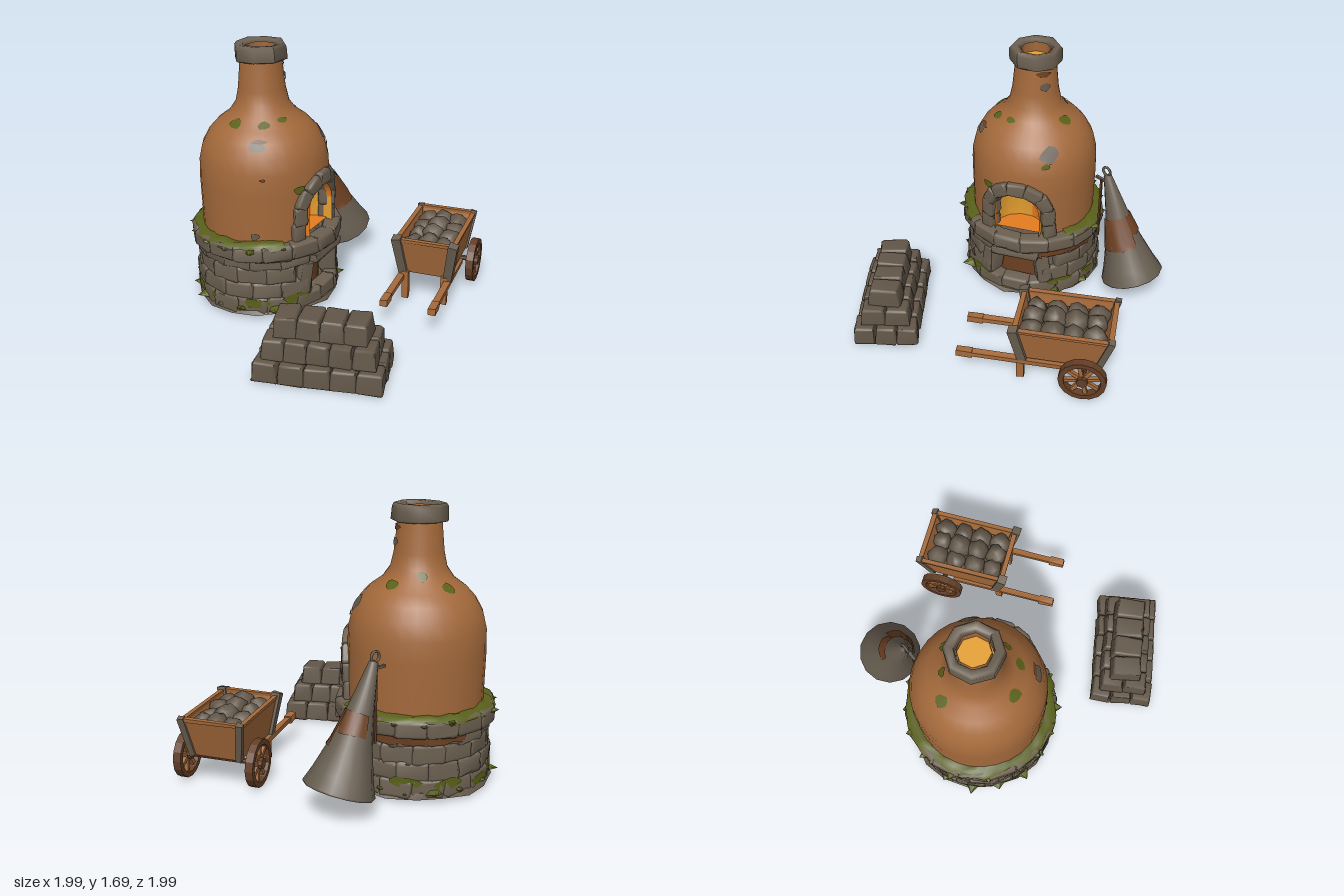
import * as THREE from 'three';
import { RoundedBoxGeometry } from 'three/addons/geometries/RoundedBoxGeometry.js';
import { mergeVertices } from 'three/addons/utils/BufferGeometryUtils.js';

const paint = (name, color, extra = {}) => Object.assign(new THREE.MeshStandardMaterial({ color, ...extra }), { name });
const DS = { side: THREE.DoubleSide };
const FLAT = { flatShading: true };
const M = {
  clay: paint('terracotta clay', 0xa3693b, DS),
  stone: paint('grey stone', 0x6c6051),
  brick: paint('dark stone', 0x625648),
  moss: paint('moss', 0x596018, DS),
  rust: paint('rust brown', 0x6c4022, DS),
  wood: paint('wood', 0xa56a3b, FLAT),
  darkWood: paint('dark wood', 0x643f27, FLAT),
  iron: paint('iron', 0x665c4f, DS),
  yellow: paint('fire yellow', 0xeca432, DS),
  orange: paint('fire orange', 0xe57c20, DS),
};

const hash = (a, b = 0, c = 0) => {
  const s = Math.sin(a * 127.1 + b * 311.7 + c * 74.7) * 43758.5453;
  return s - Math.floor(s);
};

// Pushes vertices about; coincident vertices move together
function roughen(geo, amount, seed = 1) {
  const p = geo.attributes.position;
  for (let i = 0; i < p.count; i++) {
    const v = [p.getX(i), p.getY(i), p.getZ(i)].map((n) => Math.round(n * 500) / 50);
    const d = [0, 1, 2].map((k) => (hash(v[0] + seed + k * 3.7, v[1] + k, v[2] - seed) - 0.5) * 2 * amount);
    p.setXYZ(i, p.getX(i) + d[0], p.getY(i) + d[1], p.getZ(i) + d[2]);
  }
  geo.computeVertexNormals();
  return geo;
}

// Joins the corners of a geometry so that it shades smoothly
function smooth(geo) {
  geo.deleteAttribute('normal');
  geo.deleteAttribute('uv');
  const g = mergeVertices(geo, 1e-4);
  g.computeVertexNormals();
  return g;
}

function add(parent, name, geo, mat, x = 0, y = 0, z = 0) {
  const m = new THREE.Mesh(geo, mat);
  m.name = name;
  m.position.set(x, y, z);
  parent.add(m);
  return m;
}
const group = (parent, name, x, y, z) => {
  const g = new THREE.Group();
  g.name = name;
  g.position.set(x, y, z);
  parent.add(g);
  return g;
};
const stoneGeo = (w, h, d, seed, rough = 0.006) =>
  smooth(roughen(new RoundedBoxGeometry(w, h, d, 1, Math.min(w, h, d) * 0.2), rough, seed));
const lathe = (pts, segs, start = 0, len = Math.PI * 2) =>
  new THREE.LatheGeometry(pts.map(([r, y]) => new THREE.Vector2(r, y)), segs, start, len);

const PROFILE = [[0.415, 0.48], [0.42, 0.82], [0.415, 0.95], [0.39, 1.05], [0.345, 1.13], [0.29, 1.19],
  [0.215, 1.245], [0.17, 1.31], [0.15, 1.4], [0.13, 1.6]];
function kilnRadius(y) {
  const i = Math.max(1, PROFILE.findIndex((p) => p[1] >= y));
  const [a, b] = [PROFILE[i - 1], PROFILE[i]];
  return THREE.MathUtils.lerp(a[0], b[0], (y - a[1]) / (b[1] - a[1]));
}

// Irregular thin blotch lying on a round wall
function patchGeo(phi, y, w, h, radiusAt) {
  const pos = [], idx = [], n = 9;
  const put = (a, yy) => { const r = radiusAt(yy) + 0.008; pos.push(r * Math.sin(a), yy, r * Math.cos(a)); };
  put(phi, y);
  for (let i = 0; i < n; i++) {
    const a = i / n * Math.PI * 2, k = 0.7 + 0.5 * hash(i, phi, y);
    put(phi + Math.cos(a) * w * k / radiusAt(y), y + Math.sin(a) * h * k);
    idx.push(0, 1 + i, 1 + (i + 1) % n);
  }
  const g = new THREE.BufferGeometry();
  g.setAttribute('position', new THREE.Float32BufferAttribute(pos, 3));
  g.setIndex(idx);
  g.computeVertexNormals();
  return g;
}

function buildKiln(root) {
  const kiln = group(root, 'kiln', -0.32, 0, -0.47);
  const TAU = Math.PI * 2, DOOR = 0.5, GAP = 0.42;
  const around = (name, geo, mat, phi, r, y, tilt = 0) => {
    const m = add(kiln, name, geo, mat, r * Math.sin(phi), y, r * Math.cos(phi));
    m.rotation.set(0, phi, tilt, 'YXZ');
    return m;
  };

  // Clay bottle, with a gap in the wall for the door
  add(kiln, 'clayBottle', lathe(PROFILE, 26, DOOR + GAP, TAU - 2 * GAP), M.clay);
  add(kiln, 'clayAboveDoor', lathe(PROFILE.slice(1), 4, DOOR - GAP, 2 * GAP), M.clay);
  add(kiln, 'chimneyCap', roughen(lathe([[0.115, 1.575], [0.16, 1.58], [0.167, 1.59], [0.167, 1.665], [0.155, 1.685],
    [0.115, 1.68], [0.108, 1.66], [0.108, 1.575]], 8), 0.004), M.stone);
  add(kiln, 'chimneyLining', lathe([[0.096, 1.56], [0.096, 1.665]], 8), M.clay);
  add(kiln, 'chimneyGlow', new THREE.CircleGeometry(0.1, 8).rotateX(-Math.PI / 2), M.yellow, 0, 1.6);

  // Glowing hearth and door lining
  const hearth = group(kiln, 'hearth', 0.37 * Math.sin(DOOR), 0, 0.37 * Math.cos(DOOR));
  hearth.rotation.y = DOOR;
  const oven = [[0.172, 0.48], [0.172, 0.68], [0.125, 0.8], [0, 0.84]];
  for (const [a, b, key] of [[1.57, 2.25, 'yellow'], [2.25, 2.85, 'orange'], [2.85, 4.72, 'yellow']])
    add(hearth, key + 'HearthWall', lathe(oven, 4, a, b - a), M[key]);
  add(hearth, 'hearthFloor', new THREE.CircleGeometry(0.172, 14, 0, Math.PI).rotateX(-Math.PI / 2), M.orange, 0, 0.51);
  add(hearth, 'liningArch', new THREE.CylinderGeometry(0.153, 0.153, 0.1, 12, 1, true, Math.PI / 2, Math.PI)
    .rotateX(Math.PI / 2), M.orange, 0, 0.66, -0.01);
  for (const s of [-1, 1])
    add(hearth, 'liningSide', new THREE.PlaneGeometry(0.1, 0.16).rotateY(Math.PI / 2), s < 0 ? M.orange : M.yellow, s * 0.153, 0.58, -0.01);

  // Stone arch around the door
  for (let i = -3; i <= 3; i++) {
    const a = i * Math.PI / 6;
    around('archStone', stoneGeo(0.125, 0.09, 0.11, i + 9), M.stone, DOOR + 0.21 * Math.sin(a) / 0.42, 0.4,
      0.66 + 0.205 * Math.cos(a), -a);
  }
  for (const s of [-1, 1]) around('archFoot', stoneGeo(0.09, 0.13, 0.1, s + 20), M.stone, DOOR + s * 0.53, 0.395, 0.55);

  // Ledge of big stones
  for (let i = 0; i < 16; i++)
    around('ledgeStone', stoneGeo(0.198, 0.105, 0.11, i * 1.7, 0.007), M.stone, i / 16 * TAU, 0.43, 0.45);
  add(kiln, 'rustBand', roughen(lathe([[0.464, 0.355], [0.466, 0.405]], 24, 0.7, 2.4), 0.006), M.rust);

  // Stone footing in courses, open at the ash hole
  add(kiln, 'footingCore', lathe([[0.425, 0.03], [0.425, 0.42]], 24, DOOR + 0.36, TAU - 0.72), M.stone);
  add(kiln, 'footingBottom', roughen(new THREE.CylinderGeometry(0.465, 0.485, 0.025, 18), 0.012), M.brick, 0, 0.04);
  add(kiln, 'ashHole', lathe([[0.34, 0.08], [0.34, 0.4]], 8, DOOR - 0.6, 1.2), M.rust);
  const courses = [[0.03, 0.13, 0.41], [0.13, 0.235, 0.4], [0.235, 0.34, 0.395], [0.335, 0.405, 0.395]];
  courses.forEach(([y0, y1, r], row) => {
    for (let i = 0; i < 15; i++) {
      const phi = DOOR + (i + (row % 2) * 0.5) / 15 * TAU;
      const off = Math.abs(Math.atan2(Math.sin(phi - DOOR), Math.cos(phi - DOOR)));
      if ((row === 1 || row === 2) && off < 0.45) continue;
      around('footingStone', stoneGeo(0.195, y1 - y0 + 0.014, 0.1, i + row * 31, 0.007), M.stone, phi,
        r + 0.012 * hash(i, row), (y0 + y1) / 2);
    }
  });
  for (const s of [-1, 1])
    around('ashHoleJamb', stoneGeo(0.1, 0.23, 0.12, s + 50, 0.01), M.stone, DOOR - 0.02 + s * 0.45, 0.405, 0.235, s * 0.12);
  around('ashHoleLintel', stoneGeo(0.32, 0.06, 0.11, 60, 0.008), M.stone, DOOR, 0.41, 0.365);

  // Moss on the ledge and tufts at the foot
  add(kiln, 'ledgeMoss', roughen(lathe([[0.405, 0.518], [0.445, 0.516], [0.475, 0.506], [0.487, 0.485]], 32, 1.25, 4.75), 0.01), M.moss);
  for (let i = 0; i < 26; i++) {
    const low = i % 2 === 0, phi = 1.1 + i / 26 * 5.0 + 0.14 * hash(i);
    const tuft = new THREE.ConeGeometry(0.05 + 0.03 * hash(i, 2), 0.1, 5).rotateX(Math.PI / 2 - 0.25).scale(1.3, 0.6, 1);
    around('mossTuft', roughen(tuft, 0.014, i), M.moss, phi, 0.45 + 0.03 * hash(i, 5), low ? 0.06 : 0.48);
  }
  for (let i = 0; i < 10; i++)
    add(kiln, 'footMoss', patchGeo(i * 0.55 + 1.2, 0.08 + 0.06 * hash(i, 3), 0.1, 0.035, () => 0.464), M.moss);

  // Blotches: bare stone, moss and rust
  const blots = {
    iron: [[-0.65, 1.12, 0.06, 0.03], [1.02, 1.1, 0.06, 0.05], [1.2, 1.46, 0.035, 0.025], [-0.7, 0.55, 0.03, 0.025]],
    moss: [[-1.27, 1.22, 0.04, 0.025], [-0.5, 1.225, 0.04, 0.018], [0, 1.24, 0.035, 0.015], [0.95, 1.03, 0.035, 0.02],
      [0, 0.84, 0.05, 0.03], [Math.PI, 1.22, 0.04, 0.025], [2.5, 1.28, 0.03, 0.03], [1.7, 1.235, 0.04, 0.025]],
    rust: [[-0.55, 0.93, 0.02, 0.012], [1.2, 1.55, 0.05, 0.02], [-0.6, 1.15, 0.05, 0.012]],
  };
  for (const key in blots) for (const [phi, y, w, h] of blots[key])
    add(kiln, key + 'Blotch', patchGeo(phi, y, w, h, kilnRadius), M[key]);
}

function buildCone(root) {
  // Iron cone leaning on the kiln, open below
  const cone = group(root, 'ironCone', 0.435, 0.15, -0.68);
  cone.quaternion.setFromUnitVectors(new THREE.Vector3(0, 1, 0), new THREE.Vector3(-0.26, 0.7, 0.02).normalize());
  add(cone, 'coneShell', lathe([[0.205, 0], [0.212, 0.012], [0.178, 0.1], [0.122, 0.28], [0.08, 0.46], [0.027, 0.75], [0, 0.755]], 14), M.iron);
  add(cone, 'rustPatch', roughen(lathe([[0.141, 0.24], [0.129, 0.28], [0.088, 0.46]], 6, -0.8, 2.2), 0.006), M.rust);
  add(cone, 'rustPatch', roughen(lathe([[0.116, 0.33], [0.088, 0.46]], 5, 1.4, 1.7), 0.005), M.rust);
  add(cone, 'hangingRing', new THREE.TorusGeometry(0.03, 0.009, 6, 10), M.iron, 0, 0.78);
  add(root, 'strapHook', new THREE.BoxGeometry(0.09, 0.015, 0.02), M.iron, 0.13, 0.81, -0.65);
  add(root, 'strap', new THREE.BoxGeometry(0.015, 0.46, 0.012), M.darkWood, 0.14, 0.58, -0.64);
}

function buildCart(root) {
  const cart = group(root, 'cart', 0.725, 0, 0.1);
  cart.rotation.y = 0.607;
  const box = (name, w, h, d, mat, x, y, z) => add(cart, name, roughen(new THREE.BoxGeometry(w, h, d), 0.003), mat, x, y, z);
  const board = (pts) => new THREE.ExtrudeGeometry(new THREE.Shape(pts.map(([x, y]) => new THREE.Vector2(x, y))),
    { depth: 0.02, bevelEnabled: false }).translate(0, 0, -0.01);

  // Flared bed
  box('bedFloor', 0.47, 0.025, 0.31, M.darkWood, -0.15, 0.2, 0);
  const side = board([[-0.38, 0], [0.08, 0], [0.15, 0.235], [-0.43, 0.235]]);
  const end = board([[-0.15, 0], [0.15, 0], [0.185, 0.245], [-0.185, 0.245]]).rotateY(Math.PI / 2);
  for (const s of [-1, 1]) {
    add(cart, 'sideBoard', side, M.wood, 0, 0.195, s * 0.15).rotation.x = s * 0.15;
    box('topRail', 0.59, 0.022, 0.03, M.wood, -0.14, 0.43, s * 0.187);
    box('handle', 0.72, 0.035, 0.04, M.wood, -0.43, 0.165, s * 0.155);
    box('handleGrip', 0.1, 0.045, 0.05, M.wood, -0.75, 0.165, s * 0.155);
    box('leg', 0.045, 0.19, 0.045, M.wood, -0.4, 0.105, s * 0.13);
    // Corner irons
    for (const [x, lean, w] of [[-0.41, 0.2, 0.06], [0.12, -0.28, 0.04]]) {
      const iron = box('cornerIron', w, 0.27, w, M.stone, x, 0.32, s * 0.17);
      iron.rotation.set(s * 0.15, 0, lean);
    }
  }
  add(cart, 'backBoard', end, M.wood, -0.38, 0.195, 0).rotation.z = 0.2;
  add(cart, 'frontBoard', end, M.wood, 0.08, 0.195, 0).rotation.z = -0.28;
  box('backRail', 0.03, 0.022, 0.37, M.wood, -0.43, 0.435, 0);
  box('frontRail', 0.03, 0.022, 0.37, M.wood, 0.15, 0.435, 0);

  // Wheels
  add(cart, 'axle', new THREE.CylinderGeometry(0.018, 0.018, 0.5, 8).rotateX(Math.PI / 2), M.darkWood, 0, 0.155);
  const rim = lathe([[0.115, -0.025], [0.148, -0.025], [0.148, 0.025], [0.115, 0.025], [0.115, -0.025]], 16).rotateX(Math.PI / 2);
  for (const s of [-1, 1]) {
    const wheel = group(cart, 'wheel', 0, 0.155, s * 0.235);
    add(wheel, 'wheelRim', rim, M.darkWood);
    add(wheel, 'hub', new THREE.CylinderGeometry(0.035, 0.035, 0.07, 8).rotateX(Math.PI / 2), M.darkWood);
    for (let i = 0; i < 4; i++)
      add(wheel, 'spokePair', new THREE.BoxGeometry(0.24, 0.024, 0.022), M.wood).rotation.z = i * Math.PI / 4 + 0.2;
  }

  // Load of stones
  add(cart, 'loadBase', new THREE.BoxGeometry(0.45, 0.1, 0.31), M.brick, -0.165, 0.32, 0);
  for (let i = 0; i < 12; i++) {
    const x = -0.34 + (i % 4) * 0.13, z = (Math.floor(i / 4) - 1) * 0.1;
    const rock = smooth(roughen(new THREE.IcosahedronGeometry(0.066 + 0.014 * hash(i, 4), 1), 0.01, i));
    add(cart, 'loadStone', rock, M.brick, x, 0.37 + (z === 0 ? 0.025 : 0), z).rotation.set(i, i * 2, 0);
  }
}

function buildPile(root) {
  // Stepped pile of tapered blocks
  const pile = group(root, 'blockPile', -0.585, 0, 0.61);
  pile.rotation.y = -0.81;
  [[5, 3, 0.755, 0.41], [5, 2, 0.66, 0.31], [4, 1, 0.55, 0.2]].forEach(([nx, nz, len, wid], row) => {
    for (let i = 0; i < nx; i++) for (let k = 0; k < nz; k++) {
      const w = len / nx, d = wid / nz;
      const g = new RoundedBoxGeometry(w * 1.06, 0.127, d * 1.06, 1, 0.015);
      const p = g.attributes.position;
      for (let v = 0; v < p.count; v++) {
        const t = 0.93 - p.getY(v) * 1.2;
        p.setX(v, p.getX(v) * t);
        p.setZ(v, p.getZ(v) * t);
      }
      const b = add(pile, 'block', smooth(roughen(g, 0.005, i + k * 7 + row * 13)), M.brick, (i + 0.5) * w - len / 2,
        0.068 + row * 0.12, (k + 0.5) * d - wid / 2);
      b.rotation.y = (hash(i, k, row) - 0.5) * 0.12;
    }
  });
}

export function createModel() {
  const root = new THREE.Group();
  root.name = 'kilnYard';
  buildKiln(root);
  buildCone(root);
  buildCart(root);
  buildPile(root);
  return root;
}
